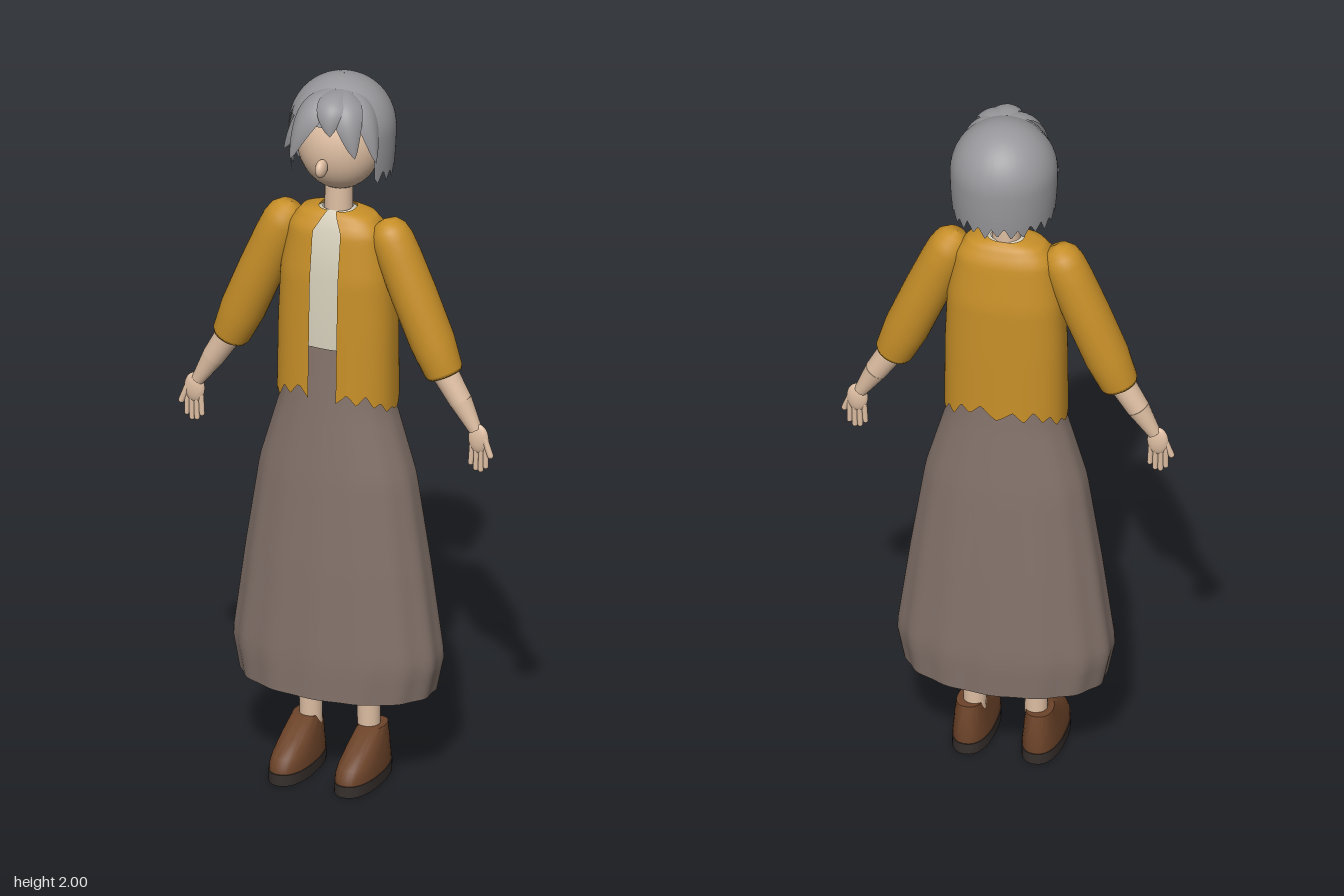
import * as THREE from 'three';
import { mergeVertices, toCreasedNormals } from 'three/addons/utils/BufferGeometryUtils.js';

const V = (x, y, z) => new THREE.Vector3(x, y, z);
const mat = (name, color, side = THREE.DoubleSide) =>
  Object.assign(new THREE.MeshStandardMaterial({ color, side }), { name });

// Grid surface from a rule f(u, v) -> [x, y, z]
function surface(nu, nv, f, crease) {
  const pos = [], idx = [];
  for (let j = 0; j <= nv; j++)
    for (let i = 0; i <= nu; i++) pos.push(...f(i / nu, j / nv));
  for (let j = 0; j < nv; j++)
    for (let i = 0; i < nu; i++) {
      const a = j * (nu + 1) + i, b = a + nu + 1;
      idx.push(a, b, a + 1, a + 1, b, b + 1);
    }
  let g = new THREE.BufferGeometry();
  g.setAttribute('position', new THREE.Float32BufferAttribute(pos, 3));
  g.setIndex(idx);
  g = mergeVertices(g, 1e-5);
  g.computeVertexNormals();
  return crease ? toCreasedNormals(g, crease) : g;
}

// Rows are [y, half width, front z, back z], listed from top to bottom
function rowAt(rows, y) {
  let i = 0;
  while (i < rows.length - 2 && y < rows[i + 1][0]) i++;
  const a = rows[i], b = rows[i + 1], t = (a[0] - y) / (a[0] - b[0] || 1);
  return a.map((n, k) => n + (b[k] - n) * t);
}
const power = (n, p) => Math.sign(n) * Math.abs(n) ** p;
function ringPoint([y, w, zf, zb], a, p) {
  return [w * power(Math.sin(a), p), y, (zf + zb) / 2 + (zf - zb) / 2 * power(Math.cos(a), p)];
}
function loft(rows, p, crease, nu = 40) {
  const n = rows.length - 1;
  return surface(nu, n, (u, v) => ringPoint(rows[Math.round(v * n)], u * Math.PI * 2, p), crease);
}

// Irregular saw teeth for hems, 0..1
const tooth = (x) => Math.abs(((x % 1) + 1) % 1 * 2 - 1);
const jag = (a, n) => 0.7 * tooth(a * n / 6.283) + 0.3 * tooth(a * n * 0.37 / 6.283 + 0.2);

export function createModel() {
  const root = new THREE.Group();
  const skin = mat('skin', 0xdfbfa3), hair = mat('greyHair', 0x98989c), ochre = mat('ochreCloth', 0xc78f28);
  const cream = mat('creamCloth', 0xd8d1bd), brown = mat('taupeCloth', 0x83726a);
  const leather = mat('brownLeather', 0x6c4329), rubber = mat('darkSole', 0x37302d);
  const add = (name, geo, m, parent = root) => {
    const mesh = new THREE.Mesh(geo, m);
    mesh.name = name;
    parent.add(mesh);
    return mesh;
  };
  const ball = (name, m, c, r, parent) => {
    const mesh = add(name, new THREE.SphereGeometry(1, 32, 24), m, parent);
    mesh.position.copy(c);
    mesh.scale.copy(r);
    return mesh;
  };
  // Aligns a y-up geometry so that it runs from a to b
  const between = (name, geo, m, a, b, parent) => {
    const mesh = add(name, geo, m, parent);
    mesh.position.copy(a).add(b).multiplyScalar(0.5);
    mesh.quaternion.setFromUnitVectors(V(0, 1, 0), b.clone().sub(a).normalize());
    return mesh;
  };
  const limb = (name, m, a, b, ra, rb, parent) =>
    between(name, new THREE.CylinderGeometry(rb, ra, a.distanceTo(b), 20), m, a, b, parent);

  // Head, nose and neck
  ball('head', skin, V(0, 1.822, -0.018), V(0.116, 0.138, 0.11));
  ball('nose', skin, V(0, 1.783, 0.104), V(0.015, 0.025, 0.025));
  limb('neck', skin, V(0, 1.58, -0.01), V(0, 1.74, -0.012), 0.039, 0.037);

  // Bobbed hair: dome above, straight ragged sides below, open at the face
  const R = 0.143, CY = 1.855, H = 0.145;
  const hairHem = (a) => {
    const k = THREE.MathUtils.clamp((Math.abs(a) - 0.98) / 0.1, 0, 1);
    return 1.9 + k * (1.715 + 0.045 * jag(a, 24) - 1.9);
  };
  add('bobHair', surface(180, 28, (u, v) => {
    const a = (u * 2 - 1) * Math.PI, y = hairHem(a);
    const end = y > CY ? Math.acos((y - CY) / H) : Math.PI / 2 + (CY - y) / H;
    const phi = v * end, drop = Math.max(0, phi - Math.PI / 2);
    const r = drop ? R * (1 - 0.07 * drop * drop) : R * Math.sin(phi);
    return [r * Math.sin(a), drop ? CY - drop * H : CY + H * Math.cos(phi), -0.035 + r * Math.cos(a)];
  }), hair);

  // Fringe: pointed, arched locks sweeping forward from one root
  const fringe = new THREE.Group();
  fringe.name = 'fringe';
  root.add(fringe);
  const centre = V(0, 1.85, -0.02);
  const locks = [
    [V(-0.07, 1.98, 0.12), V(-0.128, 1.80, 0.062), 0.042],
    [V(-0.05, 2.0, 0.14), V(-0.085, 1.80, 0.118), 0.044],
    [V(0.08, 2.0, 0.13), V(0.1, 1.83, 0.11), 0.042],
    [V(0.13, 1.98, 0.06), V(0.135, 1.80, 0.05), 0.036],
    [V(0.025, 2.005, 0.14), V(0.035, 1.89, 0.128), 0.042],
  ];
  for (const [mid, tip, width] of locks) {
    const curve = new THREE.QuadraticBezierCurve3(V(0.03, 1.982, 0.005), mid, tip);
    add('fringeLock', surface(10, 18, (u, v) => {
      const c = curve.getPoint(v), n = c.clone().sub(centre).normalize();
      const side = curve.getTangent(v).cross(n).normalize();
      const w = width * Math.max(0, Math.sin(Math.PI * (0.12 + 0.88 * v))) ** 0.7, s = u * 2 - 1;
      return c.addScaledVector(side, s * w).addScaledVector(n, -s * s * w * 0.4).toArray();
    }), hair, fringe);
  }

  // Shirt under the jacket
  add('shirt', loft([[1.632, 0.04, 0.03, -0.045], [1.58, 0.12, 0.062, -0.08],
    [1.45, 0.145, 0.08, -0.1], [1.24, 0.135, 0.078, -0.094]], 0.8), cream);

  // Open jacket with a ragged hem
  const jacketRows = [[1.632, 0.05, 0.035, -0.05], [1.622, 0.1, 0.047, -0.066], [1.58, 0.135, 0.072, -0.09],
    [1.45, 0.157, 0.09, -0.11], [1.3, 0.163, 0.096, -0.114], [1.06, 0.165, 0.104, -0.118]];
  add('jacket', surface(120, 24, (u, v) => {
    const hemAngle = 0.2 + u * (Math.PI * 2 - 0.4);
    const hem = 1.065 + 0.035 * Math.abs(Math.cos(hemAngle)) + 0.05 * jag(hemAngle, 17) * (0.3 + 0.7 * Math.abs(Math.cos(hemAngle)));
    const y = 1.632 - (1.632 - hem) * v ** 1.5, row = rowAt(jacketRows, y);
    const gap = Math.min(0.04, 0.012 + (1.632 - y) * 0.55);
    const a0 = Math.asin((gap / row[1]) ** (1 / 0.8));
    return ringPoint(row, a0 + u * (Math.PI * 2 - 2 * a0), 0.8);
  }), ochre);

  // Long skirt with soft folds, open below
  const skirtRows = [[1.25, 0.14, 0.083, -0.098], [1.08, 0.159, 0.099, -0.112], [0.88, 0.218, 0.12, -0.135],
    [0.62, 0.258, 0.139, -0.156], [0.36, 0.293, 0.153, -0.173], [0.26, 0.272, 0.153, -0.17]];
  add('skirt', surface(112, 33, (u, v) => {
    const y = 1.25 - 0.99 * v, a = u * Math.PI * 2;
    const [x, , z] = ringPoint(rowAt(skirtRows, y), a, 0.95);
    const k = 1 + 0.012 * v * Math.cos(a * 14);
    return [x * k, y, z * k];
  }), brown);

  for (const s of [1, -1]) {
    const label = s > 0 ? 'left' : 'right';
    const P = (x, y, z = 0) => V(s * x, y, z);

    // Sleeve with rounded shoulder and tucked cuff
    const arm = new THREE.Group();
    arm.name = label + 'Arm';
    root.add(arm);
    const profile = [[0.03, -0.195], [0.047, -0.205], [0.052, -0.195], [0.061, -0.11], [0.062, 0.03], [0.06, 0.14],
      [0.057, 0.19], [0.049, 0.22], [0.032, 0.24], [0, 0.249]].map(([r, y]) => new THREE.Vector2(r, y));
    between('sleeve', new THREE.LatheGeometry(profile, 32), ochre, P(0.31, 1.2, -0.004), P(0.152, 1.575, -0.006), arm);

    // Forearm and hand
    limb('forearm', skin, P(0.29, 1.24), P(0.358, 1.13), 0.038, 0.031, arm);
    limb('wrist', skin, P(0.358, 1.13), P(0.402, 1.055, 0.003), 0.031, 0.018, arm);
    ball('palm', skin, P(0.411, 1.032, 0.004), V(0.029, 0.042, 0.014), arm);
    for (let i = 0; i < 4; i++) {
      const a = P(0.392 + i * 0.0135, 1.01, 0.004), b = P(0.389 + i * 0.0145, [0.96, 0.946, 0.944, 0.956][i], 0.005);
      between('finger', new THREE.CapsuleGeometry(0.0075, a.distanceTo(b), 6, 10), skin, a, b, arm);
    }
    const t0 = P(0.43, 1.035, 0.006), t1 = P(0.447, 0.99, 0.008);
    between('thumb', new THREE.CapsuleGeometry(0.0085, t0.distanceTo(t1), 6, 10), skin, t0, t1, arm);

    // Leg and shoe
    const leg = new THREE.Group();
    leg.name = label + 'Leg';
    root.add(leg);
    limb('leg', skin, P(0.084, 0.1, -0.018), P(0.08, 0.95, -0.01), 0.03, 0.045, leg);
    const upper = add('shoe', loft([[0.14, 0, -0.02, -0.02], [0.14, 0.036, 0.03, -0.068], [0.105, 0.044, 0.095, -0.076],
      [0.07, 0.05, 0.155, -0.081], [0.05, 0.053, 0.171, -0.083], [0.03, 0.054, 0.172, -0.083]], 0.85, 0.8), leather, leg);
    const sole = add('sole', loft([[0.032, 0, 0.04, 0.04], [0.032, 0.056, 0.176, -0.086], [0, 0.055, 0.175, -0.085],
      [0, 0, 0.04, 0.04]], 0.85, 0.8), rubber, leg);
    upper.position.x = sole.position.x = s * 0.095;
  }
  return root;
}
